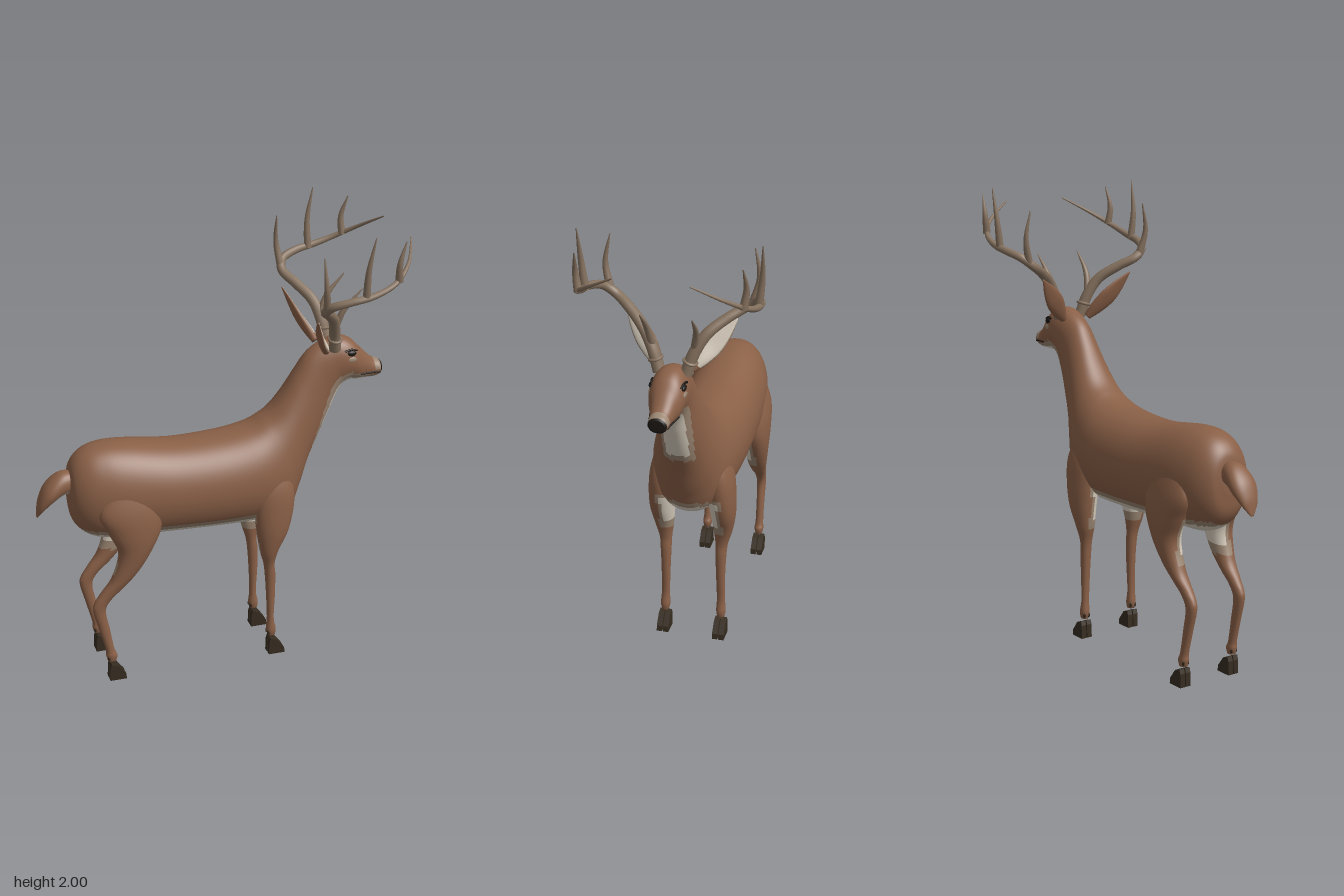
import * as THREE from 'three';

const mat = (name, color) => new THREE.MeshStandardMaterial({ name, color });
const brown = mat('coat brown', 0x8a6047), cream = mat('cream fur', 0xd6ccbc), tan = mat('tan edging', 0x9b8672),
  bone = mat('antler bone', 0x86725f), horn = mat('hoof', 0x362c20), black = mat('black', 0x1b1714);
const palette = [brown, cream, tan, black];
const BROWN = 0, CREAM = 1, TAN = 2, BLACK = 3;

// Smooth skin through rings. Each section: [ax, ay, bx, by, halfWidth, z],
// where a and b are opposite points of the ring and the width runs along z.
// paint(centre, c) picks a palette index; c is 1 at a and -1 at b.
function loft(name, sections, segs, steps, paint) {
  const A = new THREE.CatmullRomCurve3(sections.map(s => new THREE.Vector3(s[0], s[1], s[4])), false, 'catmullrom');
  const B = new THREE.CatmullRomCurve3(sections.map(s => new THREE.Vector3(s[2], s[3], s[5] || 0)), false, 'catmullrom');
  const n = (sections.length - 1) * steps, pos = [];
  const ring = (t, size) => {
    const a = A.getPoint(t), b = B.getPoint(t);
    for (let j = 0; j < segs; j++) {
      const th = j / segs * Math.PI * 2, c = Math.cos(th) * size, s = Math.sin(th);
      pos.push((a.x + b.x) / 2 + (a.x - b.x) / 2 * c, (a.y + b.y) / 2 + (a.y - b.y) / 2 * c,
        b.z + Math.max(a.z, 0.002) * Math.sign(s) * Math.abs(s) ** 0.9 * size);
    }
  };
  ring(0, 0.001);
  for (let i = 0; i <= n; i++) ring(i / n, 1);
  ring(1, 0.001);

  const buckets = palette.map(() => []), p = new THREE.Vector3();
  for (let i = 0; i < n + 2; i++) for (let j = 0; j < segs; j++) {
    const k = (j + 1) % segs, q = [i * segs + j, i * segs + k, (i + 1) * segs + k, (i + 1) * segs + j];
    p.set(0, 0, 0);
    for (const v of q) p.add(new THREE.Vector3().fromArray(pos, v * 3));
    const m = paint(p.multiplyScalar(0.25), Math.cos((j + 0.5) / segs * Math.PI * 2));
    buckets[m].push(q[0], q[1], q[2], q[0], q[2], q[3]);
  }
  const g = new THREE.BufferGeometry();
  g.setAttribute('position', new THREE.Float32BufferAttribute(pos, 3));
  g.setIndex(buckets.flat());
  let start = 0;
  buckets.forEach((b, m) => { if (b.length) g.addGroup(start, b.length, m); start += b.length; });
  g.computeVertexNormals();
  const mesh = new THREE.Mesh(g, palette);
  mesh.name = name;
  return mesh;
}

// Tube that narrows from r0 to r1
function taper(name, points, r0, r1, material, side, n = 24) {
  const curve = new THREE.CatmullRomCurve3(points.map(([x, y, z]) => new THREE.Vector3(x, y, z * side)));
  const g = new THREE.TubeGeometry(curve, n, 1, 10), P = g.attributes.position, v = new THREE.Vector3();
  for (let i = 0; i < P.count; i++) {
    const t = Math.floor(i / 11) / n, c = curve.getPointAt(t);
    v.fromBufferAttribute(P, i).sub(c).multiplyScalar(THREE.MathUtils.lerp(r0, r1, t ** 1.4)).add(c);
    P.setXYZ(i, v.x, v.y, v.z);
  }
  const mesh = new THREE.Mesh(g, material);
  mesh.name = name;
  return mesh;
}

function blob(name, material, x, y, z, sx, sy, sz) {
  const mesh = new THREE.Mesh(new THREE.SphereGeometry(1, 20, 14), material);
  mesh.name = name;
  mesh.position.set(x, y, z);
  mesh.scale.set(sx, sy, sz);
  return mesh;
}

// Rump, trunk, neck and head in one skin (a = back line, b = belly and throat line)
const BODY = [
  [-0.66, 0.94, -0.662, 0.84, 0.04], [-0.645, 1.01, -0.648, 0.75, 0.09], [-0.6, 1.06, -0.6, 0.69, 0.13],
  [-0.53, 1.085, -0.53, 0.657, 0.155], [-0.42, 1.085, -0.42, 0.65, 0.172], [-0.2, 1.058, -0.2, 0.645, 0.183],
  [0, 1.063, 0, 0.64, 0.188], [0.13, 1.085, 0.17, 0.64, 0.183], [0.2, 1.12, 0.31, 0.66, 0.163],
  [0.25, 1.16, 0.365, 0.77, 0.138], [0.3, 1.225, 0.41, 0.9, 0.112], [0.35, 1.305, 0.47, 1.03, 0.09],
  [0.405, 1.385, 0.515, 1.13, 0.077], [0.47, 1.43, 0.55, 1.21, 0.075], [0.54, 1.45, 0.59, 1.243, 0.077],
  [0.6, 1.433, 0.635, 1.243, 0.071], [0.65, 1.385, 0.67, 1.243, 0.055], [0.7, 1.336, 0.705, 1.243, 0.044],
  [0.735, 1.32, 0.735, 1.25, 0.041], [0.747, 1.31, 0.747, 1.26, 0.03],
];
function paintBody(p, c) {
  const z = Math.abs(p.z);
  if (p.x > 0.739) return BLACK;
  if (p.x > 0.71 && p.y > 1.285) return TAN;
  if (p.y < 0.72 && p.x > -0.61) return p.y < 0.695 ? CREAM : TAN;
  if (p.x > 0.6 && c < -0.6) return c < -0.8 && p.x < 0.7 ? CREAM : TAN;
  if (p.x <= 0.6 && c < -0.3 && p.y > 0.97 && z < 0.068) return z < 0.05 && p.y > 1.0 ? CREAM : TAN;
  return BROWN;
}

// Legs (a = front, b = rear)
const FRONT_LEG = [
  [0.27, 0.92, 0.19, 0.92, 0.02, 0.13], [0.31, 0.82, 0.14, 0.82, 0.05, 0.13], [0.31, 0.72, 0.135, 0.72, 0.06, 0.13],
  [0.285, 0.62, 0.145, 0.62, 0.054, 0.135], [0.245, 0.53, 0.16, 0.53, 0.042, 0.132], [0.23, 0.46, 0.18, 0.46, 0.028, 0.126],
  [0.235, 0.4, 0.188, 0.4, 0.024, 0.124], [0.235, 0.3, 0.195, 0.3, 0.02, 0.124], [0.23, 0.18, 0.2, 0.18, 0.018, 0.126],
  [0.24, 0.12, 0.196, 0.12, 0.021, 0.127], [0.237, 0.09, 0.203, 0.09, 0.016, 0.127],
];
const HIND_LEG = [
  [-0.34, 0.95, -0.5, 0.95, 0.02, 0.13], [-0.29, 0.82, -0.56, 0.82, 0.053, 0.135], [-0.29, 0.72, -0.52, 0.72, 0.061, 0.135],
  [-0.335, 0.62, -0.48, 0.62, 0.054, 0.135], [-0.39, 0.53, -0.51, 0.5, 0.042, 0.13], [-0.455, 0.455, -0.56, 0.43, 0.03, 0.126],
  [-0.505, 0.41, -0.59, 0.385, 0.024, 0.125], [-0.54, 0.35, -0.596, 0.345, 0.021, 0.125], [-0.525, 0.25, -0.572, 0.25, 0.018, 0.126],
  [-0.508, 0.15, -0.546, 0.15, 0.018, 0.127], [-0.495, 0.118, -0.545, 0.118, 0.021, 0.127], [-0.5, 0.09, -0.538, 0.09, 0.016, 0.127],
];
function paintLeg(p) {
  const z = Math.abs(p.z);
  if (p.y > 0.56 && p.y < 0.695 && z < 0.125) return CREAM;
  if (p.y > 0.52 && p.y < 0.72 && z < 0.14) return TAN;
  return BROWN;
}

const hoofShape = new THREE.Shape(
  [[-0.02, 0], [0.055, 0], [0.052, 0.025], [0.018, 0.07], [-0.012, 0.08], [-0.018, 0.06]].map(([x, y]) => new THREE.Vector2(x, y)));
const hoofGeo = new THREE.ExtrudeGeometry(hoofShape, { depth: 0.024, bevelEnabled: false }).translate(0, 0, -0.012);

function leg(name, sections, hoofX, side) {
  const g = new THREE.Group();
  g.name = name;
  g.add(loft('limb', sections.map(s => [...s.slice(0, 5), s[5] * side]), 28, 6, paintLeg));
  for (const off of [-0.0145, 0.0145]) {
    const toe = new THREE.Mesh(hoofGeo, horn);
    toe.name = 'hoof';
    toe.position.set(hoofX, 0, 0.127 * side + off);
    g.add(toe, blob('dewclaw', horn, hoofX - 0.017, 0.108, 0.127 * side + off * 0.75, 0.009, 0.013, 0.006));
  }
  return g;
}

// Leaf-shaped ear, cream inside with a tan rim (a = back, b = open front)
function ear(side) {
  const e = loft('ear', [
    [-0.016, 0, 0.016, 0, 0.016], [-0.022, 0.06, 0.014, 0.06, 0.034], [-0.022, 0.13, 0.006, 0.13, 0.042],
    [-0.014, 0.2, 0.004, 0.2, 0.03], [-0.003, 0.275, 0.003, 0.275, 0.004],
  ], 32, 8, (p, c) => c > -0.1 || p.y < 0.03 ? BROWN : c > -0.5 ? TAN : CREAM);
  e.position.set(0.47, 1.41, 0.065 * side);
  e.quaternion.setFromUnitVectors(new THREE.Vector3(0, 1, 0), new THREE.Vector3(-0.1, 0.2, 0.165 * side).normalize());
  return e;
}

// Sweeping main beam with a brow tine and three upright tines
function antler(side) {
  const g = new THREE.Group();
  g.name = 'antler';
  g.add(taper('mainBeam', [[0.515, 1.41, 0.055], [0.5, 1.5, 0.085], [0.475, 1.575, 0.13], [0.425, 1.63, 0.2], [0.385, 1.67, 0.27],
    [0.4, 1.705, 0.315], [0.47, 1.73, 0.345], [0.56, 1.748, 0.352], [0.66, 1.785, 0.335], [0.74, 1.84, 0.27], [0.802, 1.912, 0.15]],
  0.026, 0.003, bone, side, 70));
  const tines = [
    [[0.495, 1.51, 0.085], [0.53, 1.6, 0.1], [0.61, 1.69, 0.105]],
    [[0.385, 1.68, 0.29], [0.37, 1.79, 0.315], [0.365, 1.912, 0.295]],
    [[0.53, 1.735, 0.348], [0.53, 1.86, 0.362], [0.555, 2.0, 0.368]],
    [[0.68, 1.79, 0.325], [0.677, 1.87, 0.335], [0.705, 1.96, 0.328]],
  ];
  for (const t of tines) g.add(taper('tine', t, 0.017, 0.002, bone, side));
  const burr = new THREE.Mesh(new THREE.TorusGeometry(0.026, 0.007, 8, 20).rotateX(Math.PI / 2), bone);
  burr.name = 'burr';
  burr.position.set(0.508, 1.463, 0.071 * side);
  burr.rotation.x = 0.3 * side;
  g.add(burr);
  return g;
}

export function createModel() {
  const model = new THREE.Group();
  model.name = 'deer';
  model.add(loft('body', BODY, 72, 9, paintBody));

  // Tail (a = pale underside, b = top)
  model.add(loft('tail', [[-0.61, 0.88, -0.61, 0.97, 0.035], [-0.68, 0.872, -0.69, 0.975, 0.053], [-0.73, 0.845, -0.755, 0.925, 0.06],
    [-0.775, 0.805, -0.79, 0.855, 0.04], [-0.799, 0.775, -0.802, 0.785, 0.008]], 32, 8,
  (p, c) => c > 0.75 ? CREAM : c > 0.5 ? TAN : BROWN));

  for (const side of [1, -1]) {
    const s = side > 0 ? 'left' : 'right';
    model.add(leg(s + 'FrontLeg', FRONT_LEG, 0.222, side), leg(s + 'HindLeg', HIND_LEG, -0.515, side));
    model.add(ear(side), antler(side));
    // Face details
    model.add(blob('eye', black, 0.587, 1.385, 0.067 * side, 0.022, 0.013, 0.009));
    model.add(blob('eyePatch', tan, 0.585, 1.357, 0.07 * side, 0.026, 0.014, 0.007));
    model.add(taper('brow', [[0.555, 1.396, 0.07], [0.585, 1.403, 0.066], [0.618, 1.393, 0.06]], 0.005, 0.003, black, side));
    model.add(taper('mouth', [[0.635, 1.28, 0.06], [0.68, 1.277, 0.0495], [0.71, 1.275, 0.043], [0.738, 1.272, 0.037]], 0.003, 0.004, black, side));
  }
  return model;
}
